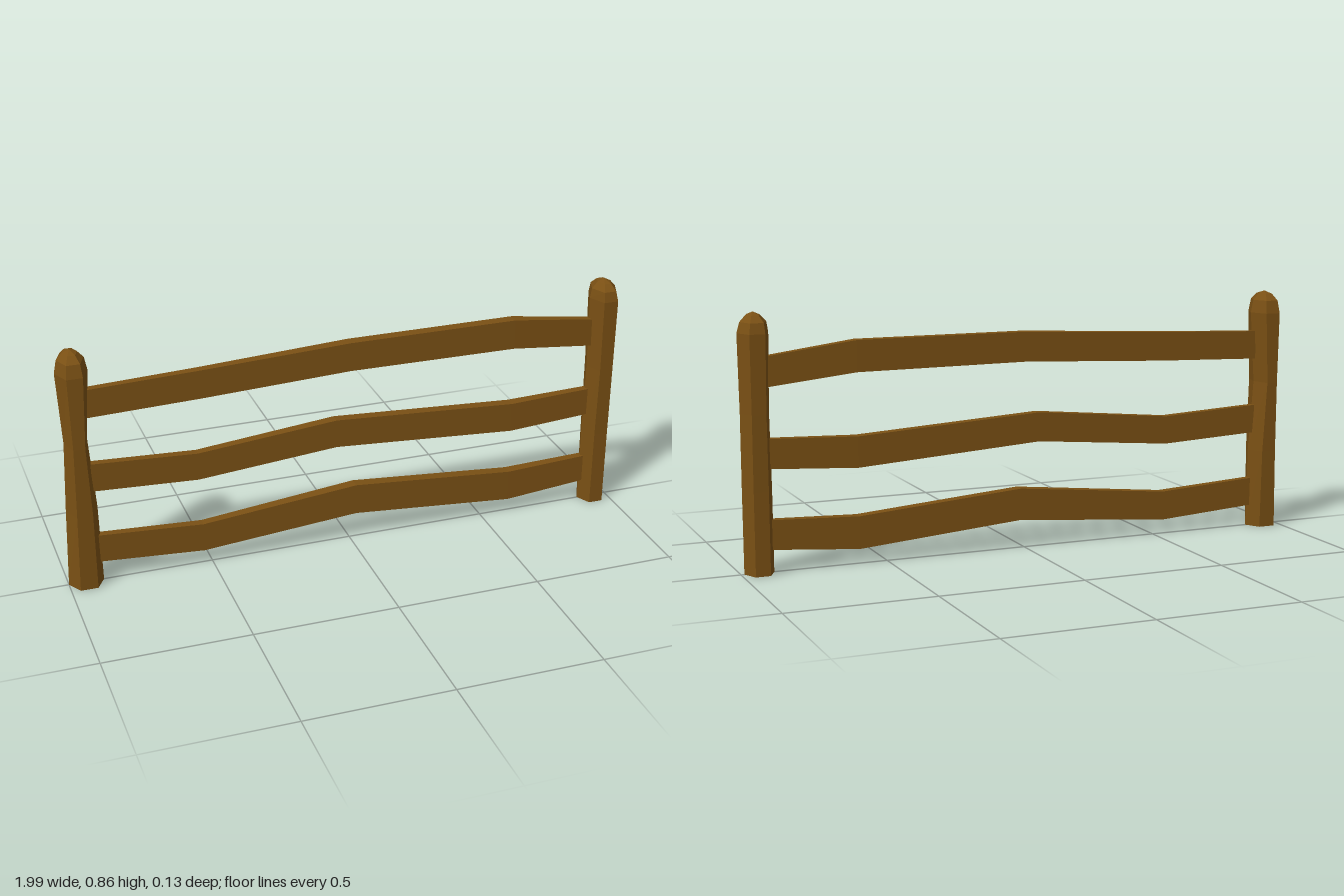
import * as THREE from 'three';

const wood = new THREE.MeshStandardMaterial({ color: 0x7a5014, flatShading: true, roughness: 0.9 });

// Skin a list of equally sized rings; both ends are capped with a fan.
function loft(name, rings) {
  const n = rings[0].length, pos = [], index = [];
  rings.forEach(r => r.forEach(p => pos.push(...p)));
  for (let i = 0; i < rings.length - 1; i++) {
    for (let j = 0; j < n; j++) {
      const a = i * n + j, b = i * n + (j + 1) % n;
      index.push(a, b, b + n, a, b + n, a + n);
    }
  }
  const last = (rings.length - 1) * n;
  for (let j = 1; j < n - 1; j++) {
    index.push(0, j + 1, j, last, last + j, last + j + 1);
  }
  const g = new THREE.BufferGeometry();
  g.setAttribute('position', new THREE.Float32BufferAttribute(pos, 3));
  g.setIndex(index);
  const flat = g.toNonIndexed();
  flat.computeVertexNormals();
  const mesh = new THREE.Mesh(flat, wood);
  mesh.name = name;
  return mesh;
}

// Six-sided post; each level is [y, centre x, half width x, half depth z].
function post(name, levels) {
  return loft(name, levels.map(([y, cx, rx, rz]) =>
    Array.from({ length: 6 }, (_, k) => {
      const a = k * Math.PI / 3;
      return [cx + rx * Math.cos(a), y, -rz * Math.sin(a) / Math.sin(Math.PI / 3)];
    })));
}

// Bent plank; each station is [x, bottom y, top y, half thickness].
function rail(name, stations) {
  return loft(name, stations.map(([x, lo, hi, t]) =>
    [[x, lo, t], [x, lo, -t], [x, hi, -t], [x, hi, t]]));
}

export function createModel() {
  const fence = new THREE.Group();
  fence.name = 'fence';

  // Posts with rounded heads
  fence.add(post('rightPost', [
    [0, -0.94, 0.06, 0.052], [0.28, -0.938, 0.053, 0.058], [0.53, -0.942, 0.039, 0.065],
    [0.78, -0.94, 0.054, 0.064], [0.825, -0.94, 0.045, 0.055],
    [0.847, -0.94, 0.025, 0.032], [0.857, -0.94, 0.001, 0.001],
  ]));
  fence.add(post('leftPost', [
    [0, 0.939, 0.05, 0.052], [0.28, 0.94, 0.05, 0.055], [0.53, 0.942, 0.048, 0.06],
    [0.79, 0.942, 0.052, 0.063], [0.825, 0.94, 0.044, 0.055],
    [0.847, 0.94, 0.024, 0.032], [0.857, 0.94, 0.001, 0.001],
  ]));

  // Three wavy rails
  fence.add(rail('topRail', [
    [-0.9, 0.614, 0.713, 0.013], [-0.52, 0.626, 0.727, 0.015], [0, 0.65, 0.752, 0.02],
    [0.6, 0.646, 0.752, 0.02], [0.9, 0.613, 0.713, 0.014],
  ]));
  fence.add(rail('middleRail', [
    [-0.9, 0.345, 0.445, 0.013], [-0.54, 0.328, 0.426, 0.015], [-0.05, 0.371, 0.472, 0.018],
    [0.6, 0.328, 0.433, 0.019], [0.9, 0.345, 0.444, 0.014],
  ]));
  fence.add(rail('bottomRail', [
    [-0.9, 0.077, 0.177, 0.013], [-0.53, 0.053, 0.155, 0.016], [0.02, 0.101, 0.211, 0.02],
    [0.6, 0.053, 0.164, 0.019], [0.9, 0.077, 0.176, 0.014],
  ]));
  return fence;
}
